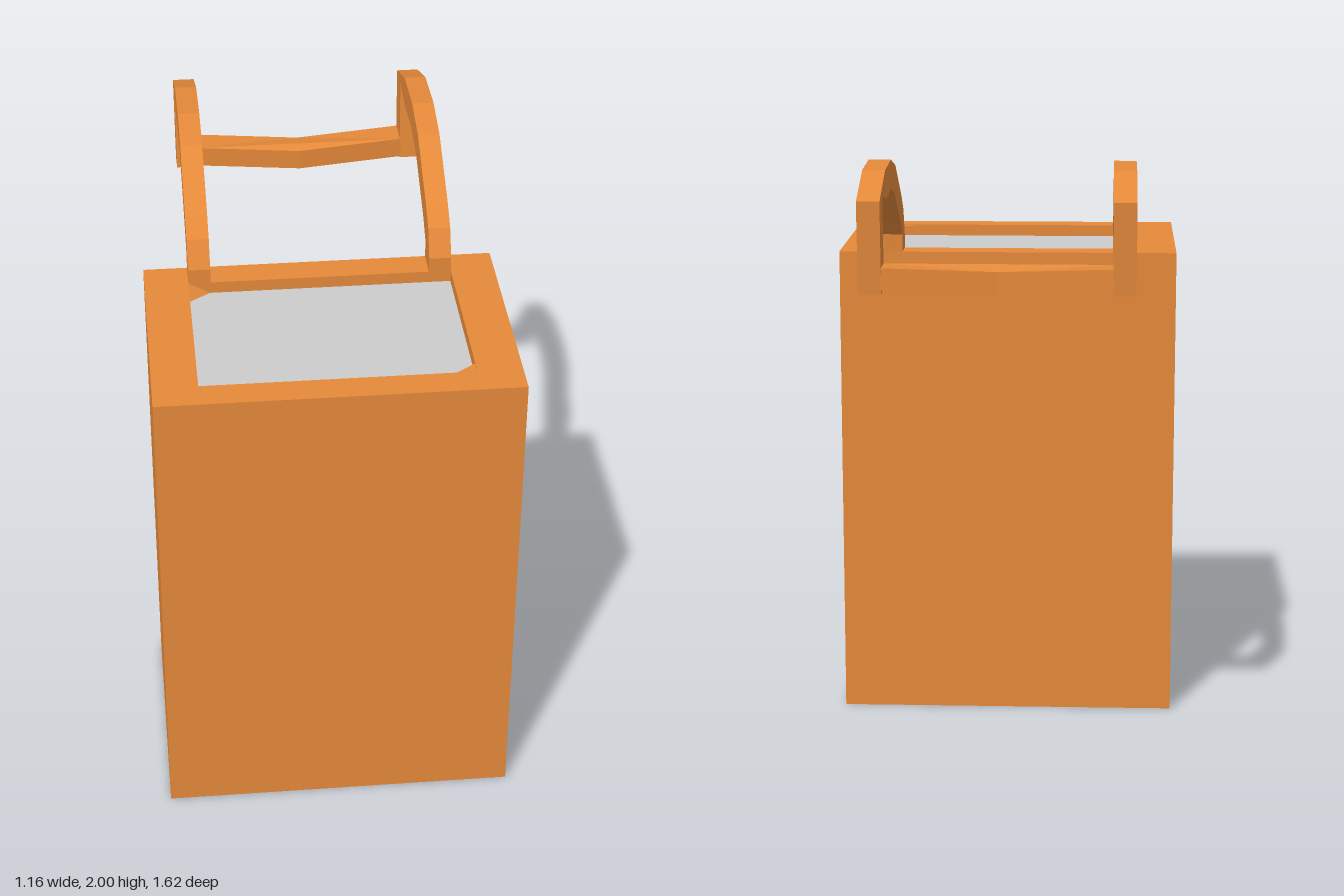
import * as THREE from 'three';

const orange = new THREE.MeshStandardMaterial({ color: 0xe5893a, flatShading: true, side: THREE.DoubleSide });
const grey = new THREE.MeshStandardMaterial({ color: 0xcccccc, flatShading: true, side: THREE.DoubleSide });

const points = (list) => list.map(([a, b]) => new THREE.Vector2(a, b));
const rect = (x, z0, z1) => points([[-x, -z1], [x, -z1], [x, -z0], [-x, -z0]]);

// Extrudes a plan outline, given as (x, -z), upward from height y
function slab(shape, y, depth) {
  return new THREE.ExtrudeGeometry(shape, { depth, bevelEnabled: false }).rotateX(-Math.PI / 2).translate(0, y, 0);
}

export function createModel() {
  const model = new THREE.Group();
  const add = (name, geometry, material = orange) => {
    const mesh = new THREE.Mesh(geometry, material);
    mesh.name = name;
    model.add(mesh);
    return mesh;
  };
  const H = 1.64, FLOOR = 1.6;

  // Solid case with a shallow rim around the top recess
  add('case', slab(new THREE.Shape(rect(0.58, 0.01, 0.81)), 0, FLOOR - 0.005));
  const rim = new THREE.Shape(rect(0.58, 0.01, 0.81));
  rim.holes.push(new THREE.Path(rect(0.435, 0.11, 0.71)));
  add('rim', slab(rim, FLOOR - 0.005, H - FLOOR + 0.005));

  // Panel in the recess
  const panel = new THREE.PlaneGeometry(0.87, 0.6).rotateX(-Math.PI / 2).translate(0, FLOOR, 0.41);
  add('topPanel', panel, grey);

  // Small triangular gussets in two opposite corners
  const gusset = (name, corners) => {
    const g = new THREE.BufferGeometry();
    g.setAttribute('position', new THREE.Float32BufferAttribute(corners, 3));
    g.computeVertexNormals();
    add(name, g);
  };
  gusset('backGusset', [-0.435, H, 0.11, -0.435, FLOOR, 0.16, -0.365, FLOOR, 0.11]);
  gusset('frontGusset', [0.435, H - 0.003, 0.71, 0.435, H - 0.003, 0.66, 0.365, H - 0.003, 0.71]);

  // Curved arms with a drop at the back, drawn as (z, y)
  const arm = new THREE.Shape(points([
    [0.11, 1.6], [0.11, 1.69], [0.065, 1.78], [0, 1.83], [-0.235, 1.965], [-0.395, 2], [-0.605, 1.99],
    [-0.81, 1.915], [-0.785, 1.62], [-0.69, 1.63], [-0.71, 1.92], [-0.585, 1.895], [-0.395, 1.905],
    [-0.26, 1.87], [-0.05, 1.75], [0.01, 1.7], [0.015, 1.6],
  ]));
  const armGeometry = new THREE.ExtrudeGeometry(arm, { depth: 0.073, bevelEnabled: false })
    .translate(0, 0, -0.0365).rotateY(-Math.PI / 2);
  for (const [name, side] of [['leftArm', 1], ['rightArm', -1]]) {
    add(name, armGeometry).position.x = side * 0.3985;
  }

  // Crossbar: bent toward the case and dipping a little at its middle
  const bar = new THREE.Shape(points([
    [-0.365, 0.69], [0, 0.66], [0.365, 0.69], [0.365, 0.79], [0, 0.76], [-0.365, 0.79],
  ]));
  const barGeometry = slab(bar, 1.62, 0.07);
  const p = barGeometry.attributes.position;
  for (let i = 0; i < p.count; i++) p.setY(i, p.getY(i) + 0.04 * Math.abs(p.getX(i)));
  barGeometry.computeVertexNormals();
  add('crossbar', barGeometry);

  return model;
}
